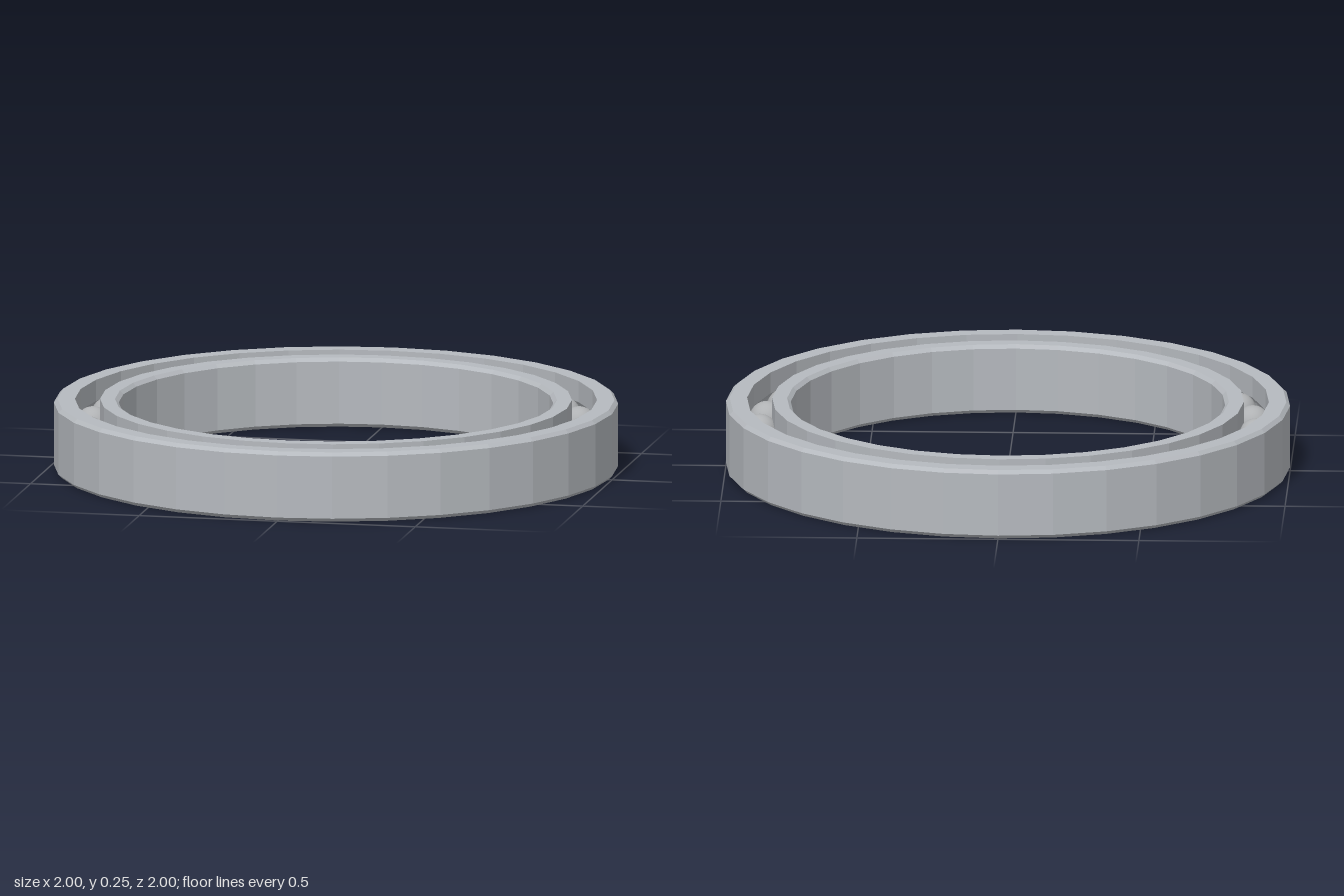
import * as THREE from 'three';

const HEIGHT = 0.25, MID = HEIGHT / 2;
const PITCH = 0.88;          // radius of the ball circle
const BALL_R = 0.064, GROOVE_R = 0.066;
const CHAMFER = 0.013;

// Points of the ball groove cut into a wall of radius wallR, from angle -a to a
function groove(wallR, steps = 8) {
  const dr = wallR - PITCH;
  const half = Math.acos(Math.abs(dr) / GROOVE_R);
  const points = [];
  for (let i = 0; i <= steps; i++) {
    const a = -half + (2 * half * i) / steps;
    points.push(new THREE.Vector2(PITCH + Math.sign(dr) * GROOVE_R * Math.cos(a), MID + GROOVE_R * Math.sin(a)));
  }
  return points;
}

// Faceted ring from a closed counterclockwise profile
function makeRing(profile, material, name) {
  const geometry = new THREE.LatheGeometry([...profile, profile[0].clone()], 32).toNonIndexed();
  geometry.computeVertexNormals();
  const mesh = new THREE.Mesh(geometry, material);
  mesh.name = name;
  return mesh;
}

export function createModel() {
  const model = new THREE.Group();
  model.name = 'ballBearing';
  const steel = new THREE.MeshStandardMaterial({ color: 0xb6babf });
  steel.name = 'ring steel';
  const ballSteel = new THREE.MeshStandardMaterial({ color: 0xb0b2b4 });
  ballSteel.name = 'ball steel';
  const p = (r, y) => new THREE.Vector2(r, y);

  // Outer ring: chamfered outside, groove on its inner wall
  const outerWall = 0.925;
  model.add(makeRing([
    p(outerWall, 0), p(1 - CHAMFER, 0), p(1, CHAMFER), p(1, HEIGHT - CHAMFER),
    p(1 - CHAMFER, HEIGHT), p(outerWall, HEIGHT), ...groove(outerWall).reverse(),
  ], steel, 'outerRing'));

  // Inner ring: chamfered bore, groove on its outer wall
  const innerWall = 0.836, bore = 0.77;
  model.add(makeRing([
    p(bore + CHAMFER, 0), p(innerWall, 0), ...groove(innerWall), p(innerWall, HEIGHT),
    p(bore + CHAMFER, HEIGHT), p(bore, HEIGHT - CHAMFER), p(bore, CHAMFER),
  ], steel, 'innerRing'));

  // Balls evenly spaced in the groove
  const balls = new THREE.Group();
  balls.name = 'balls';
  const ballGeometry = new THREE.SphereGeometry(BALL_R, 24, 16);
  const count = 30;
  for (let i = 0; i < count; i++) {
    const a = (i / count) * Math.PI * 2;
    const ball = new THREE.Mesh(ballGeometry, ballSteel);
    ball.name = 'ball';
    ball.position.set(PITCH * Math.cos(a), MID, PITCH * Math.sin(a));
    balls.add(ball);
  }
  model.add(balls);
  return model;
}
